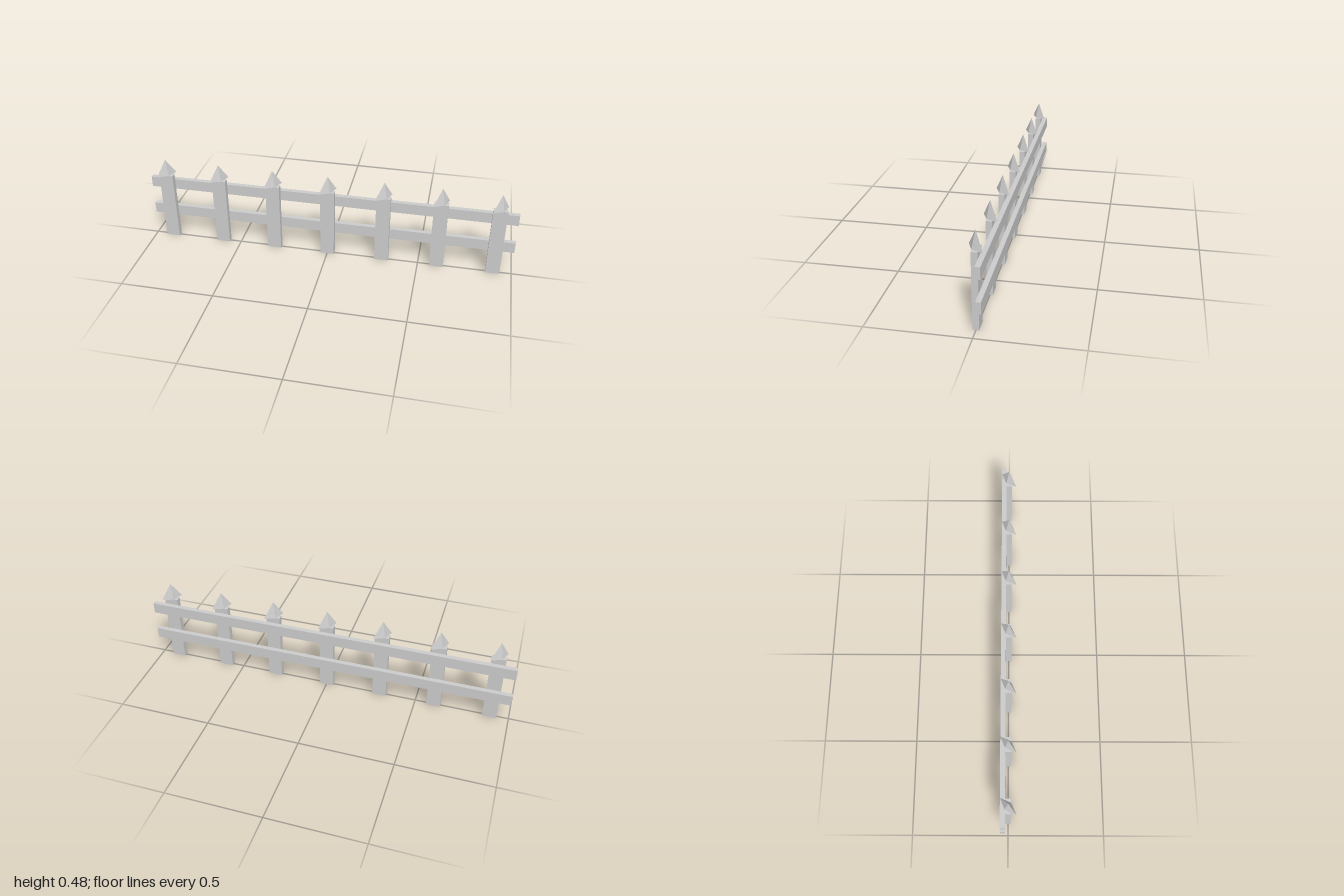
import * as THREE from 'three';

export function createModel() {
  const fence = new THREE.Group();
  fence.name = 'picketFence';
  const material = new THREE.MeshStandardMaterial({ color: 0xcccccc, flatShading: true });

  const add = (name, geometry, x, y, z) => {
    const mesh = new THREE.Mesh(geometry, material);
    mesh.name = name;
    mesh.position.set(x, y, z);
    fence.add(mesh);
  };

  const postHeight = 0.39;
  const tipHeight = 0.09;

  // Flat board and a squashed four-sided point turned diagonally across it
  const board = new THREE.BoxGeometry(0.075, postHeight, 0.03);
  const tip = new THREE.ConeGeometry(0.0566, tipHeight, 4)
    .scale(1, 1, 0.4)
    .rotateY(Math.PI / 4);

  // Seven evenly spaced pickets
  for (let i = -3; i <= 3; i++) {
    add('picket', board, i * 0.3, postHeight / 2, 0);
    add('picketTip', tip, i * 0.3, postHeight + tipHeight / 2, 0);
  }

  // Two rails running behind the pickets
  const rail = new THREE.BoxGeometry(2, 0.06, 0.025);
  add('lowerRail', rail, 0, 0.156, -0.0275);
  add('upperRail', rail, 0, 0.326, -0.0275);

  return fence;
}
